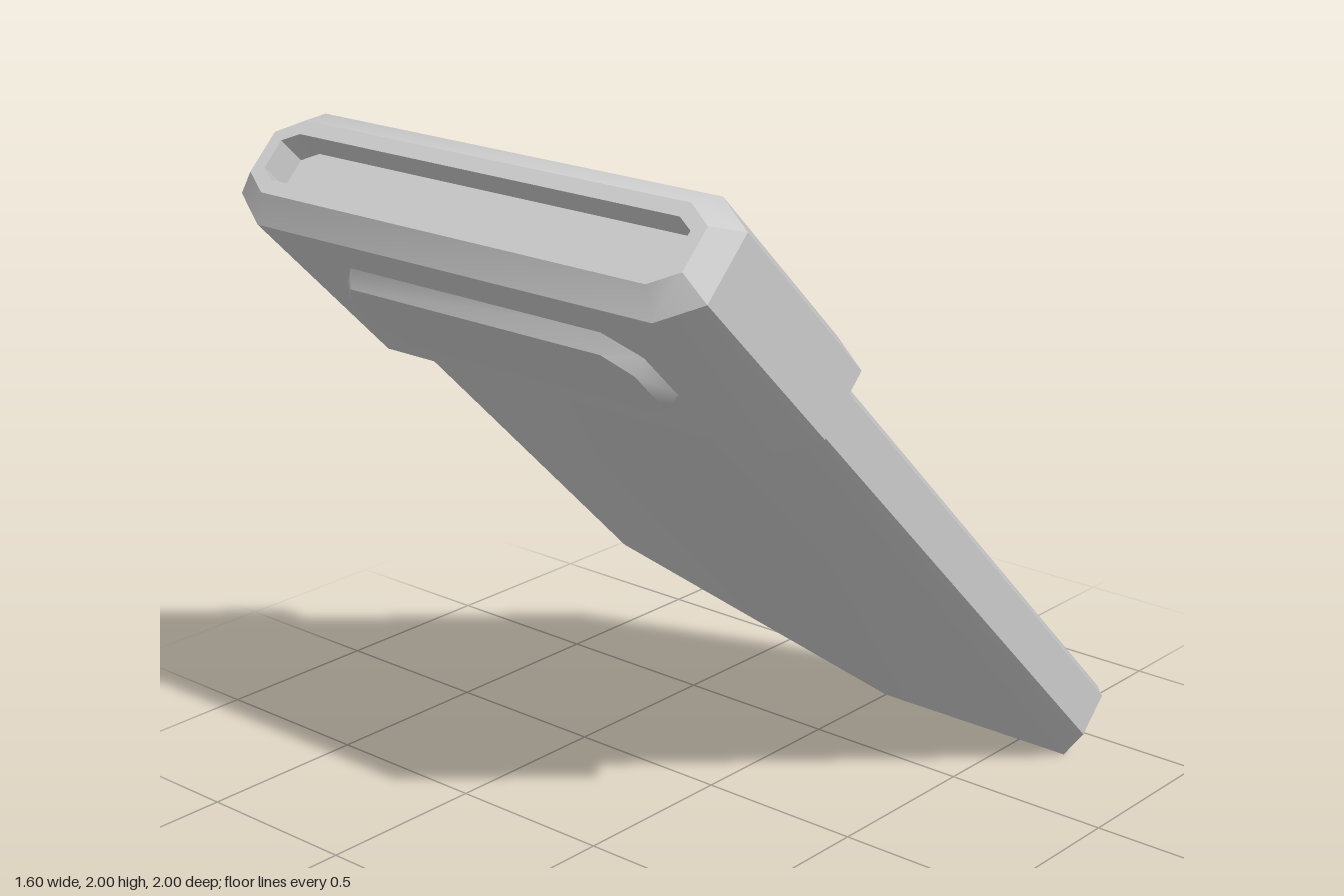
import * as THREE from 'three';
import { toCreasedNormals } from 'three/addons/utils/BufferGeometryUtils.js';

const material = new THREE.MeshStandardMaterial({ color: 0xcccccc });

// Ring of points from columns [x, half depth, height]: along the front, then back along the rear.
function ring(columns) {
  const front = columns.map(([x, d, y]) => [x, y, d]);
  const back = columns.map(([x, d, y]) => [x, y, -d]).reverse();
  return [...front, ...back];
}

// Symmetric octagon at one height: full width at the sides, flat faces between the corners.
function octagon(y, width, sideDepth, flatWidth, depth) {
  return ring([[-width, sideDepth, y], [-flatWidth, depth, y], [flatWidth, depth, y], [width, sideDepth, y]]);
}

// Closed solid skinned over rings listed from bottom to top.
function loft(name, rings) {
  const n = rings[0].length;
  const index = [];
  const quad = (a, b, c, d) => index.push(a, b, c, a, c, d);
  for (let r = 0; r < rings.length - 1; r++) {
    for (let i = 0; i < n; i++) {
      const j = (i + 1) % n;
      quad(r * n + i, r * n + j, (r + 1) * n + j, (r + 1) * n + i);
    }
  }
  const top = (rings.length - 1) * n;
  for (let i = 0; i < n / 2 - 1; i++) {
    quad(i, n - 1 - i, n - 2 - i, i + 1);
    quad(top + i, top + i + 1, top + n - 2 - i, top + n - 1 - i);
  }
  const geometry = new THREE.BufferGeometry();
  geometry.setAttribute('position', new THREE.Float32BufferAttribute(rings.flat(2), 3));
  geometry.setIndex(index);
  const mesh = new THREE.Mesh(toCreasedNormals(geometry, 0.68), material);
  mesh.name = name;
  return mesh;
}

export function createModel() {
  const sheath = new THREE.Group();
  sheath.name = 'sheath';

  // Flat body with a slanted tip
  const bodyColumns = [[-0.74, 0.065, -0.63], [-0.66, 0.1175, -0.63], [0, 0.1175, -1.297],
    [0.66, 0.1175, -1.297], [0.74, 0.065, -1.21]];
  sheath.add(loft('body', [
    ring(bodyColumns),
    ring(bodyColumns.map(([x, d]) => [x, d, 0.65])),
  ]));

  // Thick collar with a bevelled rim and a recessed slot
  sheath.add(loft('collar', [
    octagon(0.623, 0.8, 0.1, 0.68, 0.176),
    octagon(1.24, 0.8, 0.1, 0.68, 0.176),
    octagon(1.302, 0.74, 0.063, 0.66, 0.113),
    octagon(1.302, 0.7, 0.043, 0.65, 0.072),
    octagon(1.212, 0.7, 0.043, 0.65, 0.072),
  ]));

  // Raised bevelled panel on each face of the collar
  for (const side of [1, -1]) {
    const panel = loft(side > 0 ? 'frontPanel' : 'backPanel', [
      octagon(0.17, 0.52, 0.09, 0.435, 0.18),
      octagon(0.217, 0.495, 0.06, 0.435, 0.137),
    ]);
    panel.rotation.x = side * Math.PI / 2;
    panel.position.y = 0.937;
    sheath.add(panel);
  }

  // Lean the sheath forward, mouth up
  sheath.rotation.x = Math.PI / 4;
  sheath.position.y = 1;
  const model = new THREE.Group();
  model.add(sheath);
  return model;
}
